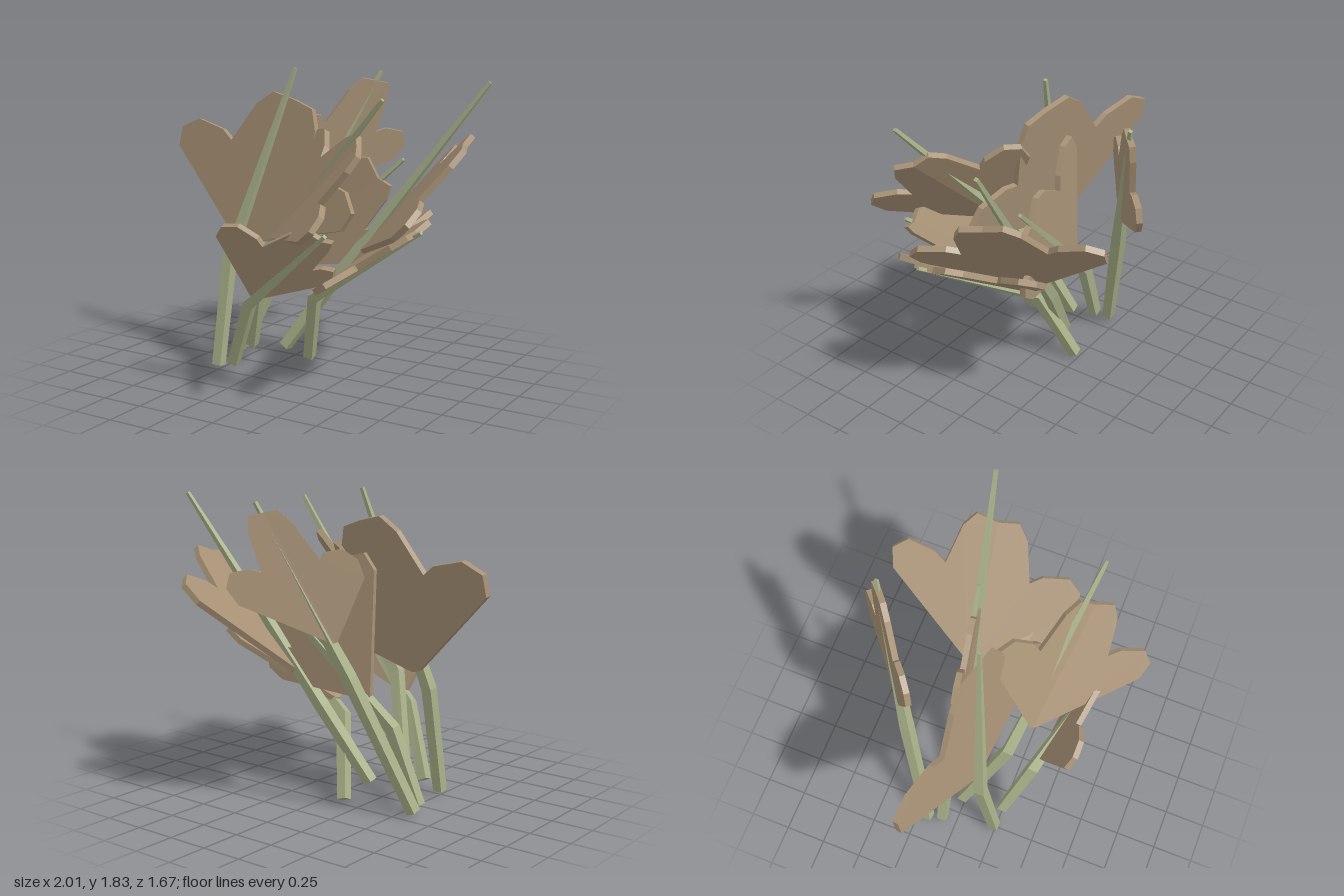
import * as THREE from 'three';
import { mergeGeometries } from 'three/addons/utils/BufferGeometryUtils.js';

const vec = (a) => new THREE.Vector3(...a);

// Half of the three-lobed leaf outline: u across, v along the midrib
const HALF = [[0, 0], [0.03, 0], [0.73, 0.34], [0.76, 0.457], [0.65, 0.55], [0.436, 0.56],
  [0.34, 0.525], [0.256, 0.79], [0.167, 0.897], [0, 0.905]];
const LOBE_U = 0.75, LOBE_V = 0.45, TOP_V = 0.9, THICK = 0.035;

// Each plant: stem points, then leaf foot, leaf top and the two side lobes
const PLANTS = [
  { stem: [[-0.5, 0.04, 0.24], [-0.48, 0.68, 0.14], [-0.1, 1.84, -0.01]],
    foot: [-0.43, 0.79, 0.09], top: [-0.1, 1.65, -0.01], lobes: [[-1.0, 1.42, -0.13], [0.38, 1.05, 0.17]] },
  { stem: [[-0.38, 0.08, 0.25], [-0.18, 0.5, 0.37], [0.46, 1.01, 0.6]],
    foot: [-0.12, 0.55, 0.4], top: [0.43, 0.98, 0.57], lobes: [[-0.19, 1.0, 0.61], [0.44, 0.76, 0.48]] },
  { stem: [[-0.6, 0.04, -0.18], [-0.31, 0.82, -0.4], [0.11, 1.79, -0.69]],
    foot: [-0.25, 1.02, -0.45], top: [0.07, 1.73, -0.66], lobes: [[-0.33, 1.47, -0.35], [0.2, 1.32, -0.82]] },
  { stem: [[-0.13, 0.03, -0.22], [0.02, 0.48, -0.03], [0.83, 1.0, 0.2]],
    foot: [0.1, 0.55, 0.0], top: [0.77, 0.98, 0.14], lobes: [[0.48, 0.75, 0.64], [0.58, 0.99, -0.42]] },
  { stem: [[-0.42, 0.12, -0.01], [-0.2, 0.73, 0.21], [0.7, 1.73, 0.42]],
    foot: [-0.06, 0.89, 0.3], top: [0.56, 1.46, 0.42], lobes: [[0.08, 1.48, 0.03], [0.5, 1.07, 0.81]] },
  { stem: [[-0.22, 0.12, -0.08], [0.07, 0.55, -0.17], [0.98, 1.78, -0.34]],
    foot: [0.24, 0.75, -0.21], top: [0.86, 1.42, -0.28], lobes: [[0.54, 1.3, -0.81], [0.78, 1.04, 0.28]] },
  { stem: [[-0.57, 0.05, -0.09], [-0.4, 0.48, -0.11], [0.49, 1.32, -0.25]],
    foot: [-0.25, 0.64, -0.13], top: [0.34, 1.2, -0.22], lobes: [[-0.2, 1.47, -0.11], [0.42, 0.75, -0.22]] },
];

// Bent four-sided stem that tapers to the tip
function stemGeometry(points) {
  const [a, b, c] = points.map(vec);
  const d1 = b.clone().sub(a).normalize(), d2 = c.clone().sub(b).normalize();
  const rings = [[a, d1, 0.042], [b, d1.clone().add(d2).normalize(), 0.046], [c, d2, 0.014]];
  const geo = new THREE.CylinderGeometry(1, 1, 1, 4, 2).rotateY(Math.PI / 4);
  const pos = geo.attributes.position, p = new THREE.Vector3();
  for (let i = 0; i < pos.count; i++) {
    const [centre, dir, r] = rings[Math.round((pos.getY(i) + 0.5) * 2)];
    const z = new THREE.Vector3(1, 0, 0).cross(dir).normalize(), x = dir.clone().cross(z);
    p.copy(centre).addScaledVector(x, pos.getX(i) * r).addScaledVector(z, pos.getZ(i) * r);
    pos.setXYZ(i, p.x, p.y, p.z);
  }
  const flat = geo.toNonIndexed();
  flat.computeVertexNormals();
  return flat;
}

// Thick leaf blade, folded along the midrib so that its lobes reach the given points
function leafGeometry({ foot, top, lobes }) {
  const base = vec(foot), l1 = vec(lobes[0]), l2 = vec(lobes[1]);
  const along = vec(top).sub(base).divideScalar(TOP_V);
  const across = l2.clone().sub(l1).divideScalar(2 * LOBE_U);
  const fold = l1.clone().add(l2).multiplyScalar(0.5).sub(base)
    .addScaledVector(along, -LOBE_V).divideScalar(LOBE_U);
  const normal = across.clone().cross(along).normalize();
  const halves = [1, -1].map((side) => {
    const shape = new THREE.Shape(HALF.map(([u, v]) => new THREE.Vector2(u * side, v)));
    const geo = new THREE.ExtrudeGeometry(shape, { depth: THICK, bevelEnabled: false });
    const pos = geo.attributes.position, p = new THREE.Vector3();
    for (let i = 0; i < pos.count; i++) {
      const u = pos.getX(i);
      p.copy(base).addScaledVector(across, u).addScaledVector(along, pos.getY(i))
        .addScaledVector(fold, Math.abs(u)).addScaledVector(normal, pos.getZ(i) - THICK / 2);
      pos.setXYZ(i, p.x, p.y, p.z);
    }
    geo.computeVertexNormals();
    return geo;
  });
  return mergeGeometries(halves);
}

export function createModel() {
  const stemGreen = new THREE.MeshStandardMaterial({ color: 0xa8b088 });
  stemGreen.name = 'stem green';
  const leafBrown = new THREE.MeshStandardMaterial({ color: 0xa89276 });
  leafBrown.name = 'leaf brown';

  const model = new THREE.Group();
  model.name = 'leafCluster';
  for (const plant of PLANTS) {
    const group = new THREE.Group();
    group.name = 'plant';
    const stem = new THREE.Mesh(stemGeometry(plant.stem), stemGreen);
    stem.name = 'stem';
    const leaf = new THREE.Mesh(leafGeometry(plant), leafBrown);
    leaf.name = 'leaf';
    group.add(stem, leaf);
    model.add(group);
  }
  return model;
}
